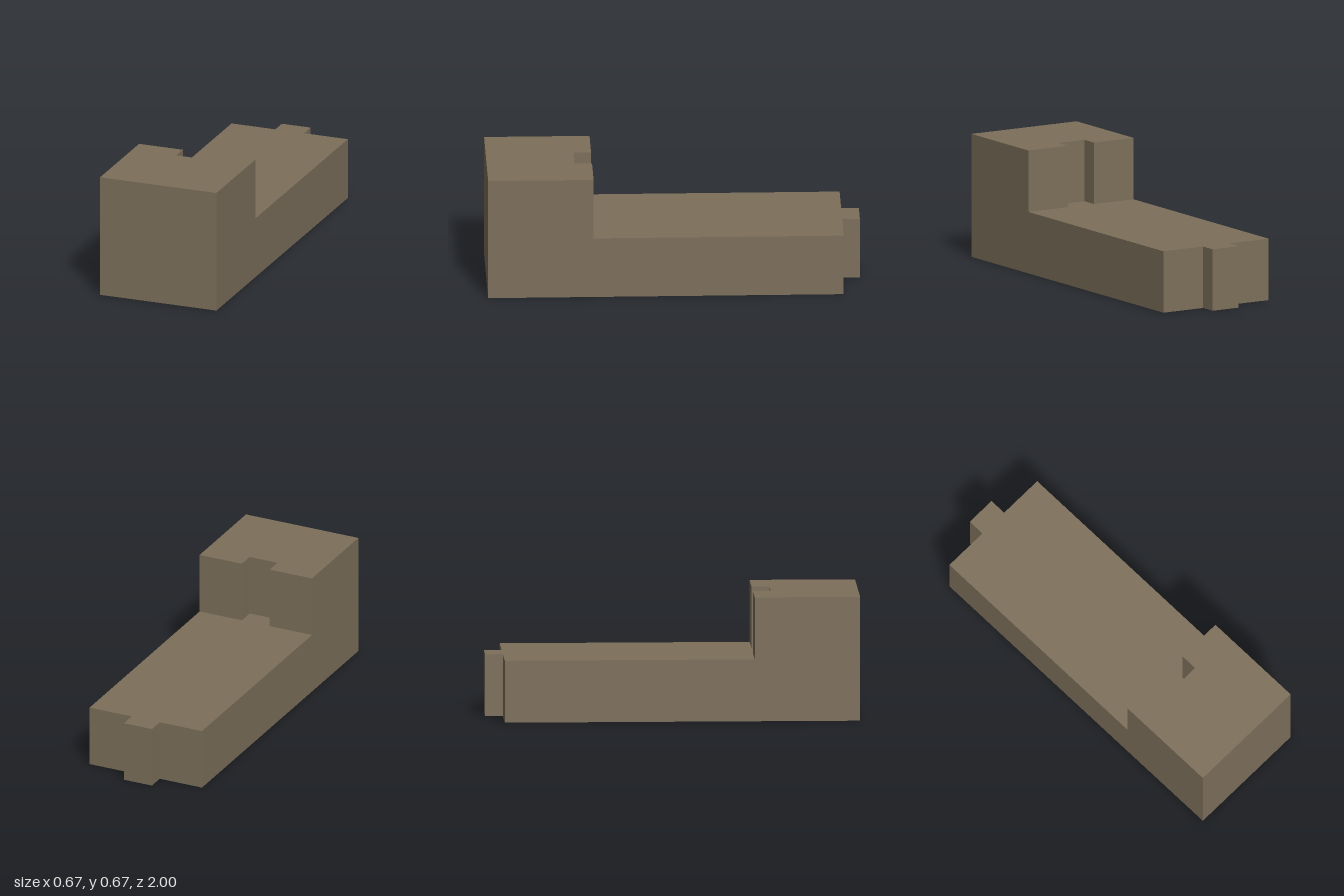
import * as THREE from 'three';

const HALF_W = 0.335, TAB = 0.083, STEP_Y = 0.335, TOP_Y = 0.67;

// Extrudes a floor-plan outline of [x, z] points from y0 up to y1
function slab(name, plan, y0, y1, material) {
  const shape = new THREE.Shape(plan.map(([x, z]) => new THREE.Vector2(x, -z)));
  const geometry = new THREE.ExtrudeGeometry(shape, { depth: y1 - y0, bevelEnabled: false });
  geometry.rotateX(-Math.PI / 2).translate(0, y0, 0);
  const mesh = new THREE.Mesh(geometry, material);
  mesh.name = name;
  return mesh;
}

// Block outline whose back edge steps to tabZ across the middle
const plan = (backZ, tabZ) => [
  [-HALF_W, 1], [HALF_W, 1], [HALF_W, backZ], [TAB, backZ],
  [TAB, tabZ], [-TAB, tabZ], [-TAB, backZ], [-HALF_W, backZ],
];

export function createModel() {
  const group = new THREE.Group();
  group.name = 'interlockingStep';
  const stone = new THREE.MeshStandardMaterial({ color: 0x7d705b });
  stone.name = 'brownStone';

  // Long tread with a tongue at the back
  group.add(slab('treadWithTongue', plan(-0.905, -1), 0, STEP_Y, stone));
  // Raised front block with a matching groove
  group.add(slab('raisedBlockWithGroove', plan(0.435, 0.53), STEP_Y, TOP_Y, stone));
  return group;
}
